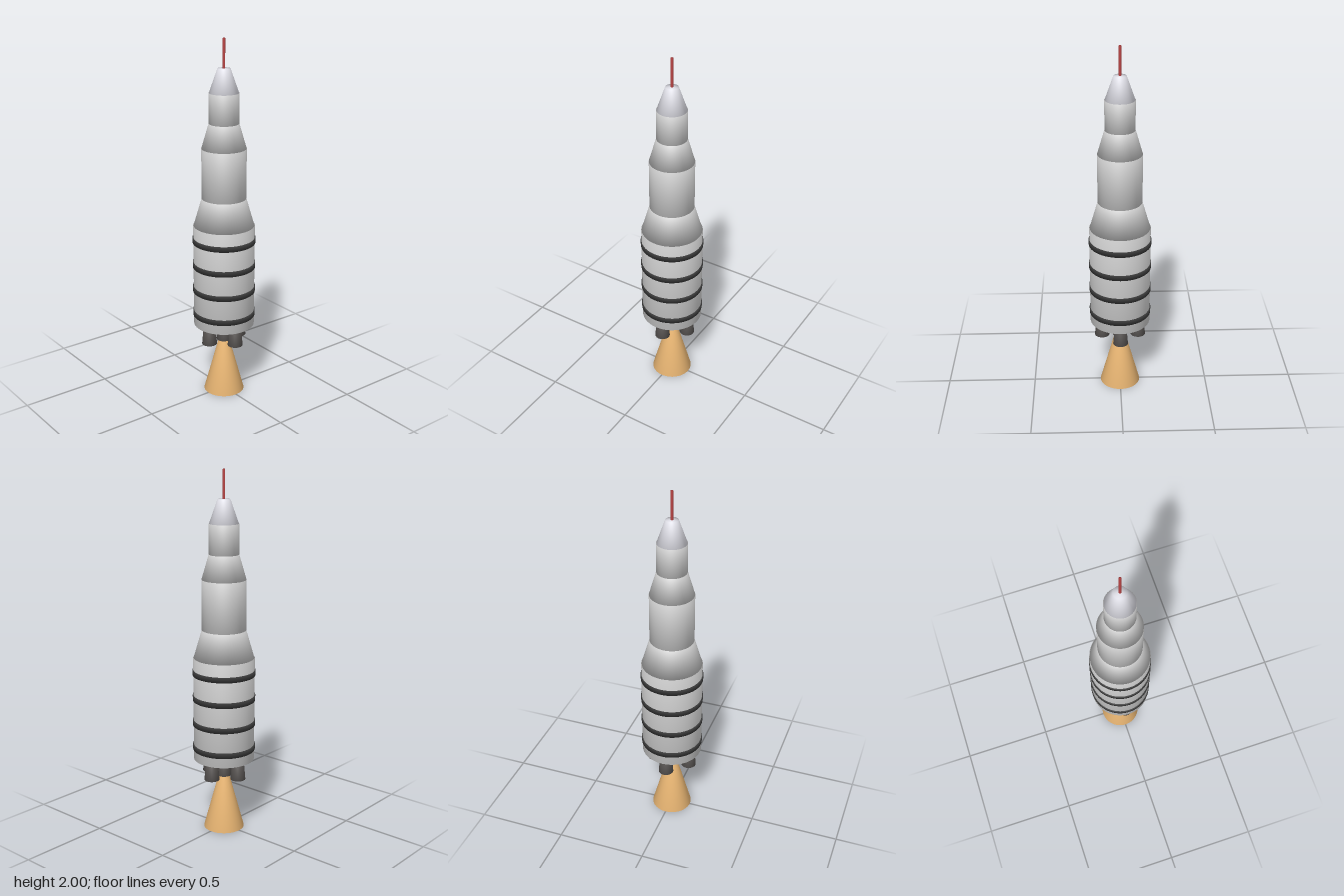
import * as THREE from 'three';

const hull = new THREE.MeshStandardMaterial({ color: 0xcccccc });
const paint = (color) => new THREE.MeshStandardMaterial({ color });

// Closed round section between two heights, softly shaded across its rims
function section(name, material, y0, r0, y1, r1, sides = 64) {
  const profile = [[0, y0], [r0, y0], [r1, y1], [0, y1]].map(([r, y]) => new THREE.Vector2(r, y));
  const mesh = new THREE.Mesh(new THREE.LatheGeometry(profile, sides), material);
  mesh.name = name;
  return mesh;
}

export function createModel() {
  const rocket = new THREE.Group();
  rocket.name = 'rocket';
  const dark = paint(0x3a3a3a);
  const engineGrey = paint(0x5a5654);

  // Stages and tapered adapters, bottom to top
  rocket.add(
    section('firstStage', hull, 0.412, 0.168, 0.992, 0.168),
    section('lowerAdapter', hull, 0.992, 0.165, 1.147, 0.12),
    section('secondStage', hull, 1.147, 0.121, 1.422, 0.121),
    section('upperAdapter', hull, 1.422, 0.12, 1.556, 0.081),
    section('thirdStage', hull, 1.556, 0.081, 1.718, 0.081),
    section('noseCone', paint(0xe2e2ea), 1.718, 0.079, 1.845, 0.034),
    section('antenna', paint(0xb84444), 1.845, 0.0065, 2, 0.0065, 16)
  );

  // Dark bands around the first stage
  for (let i = 0; i < 4; i++) {
    const y = 0.482 + i * 0.1425;
    rocket.add(section('band', dark, y - 0.015, 0.172, y + 0.015, 0.172));
  }

  // Central engine with four around it
  for (const [x, z] of [[0, 0], [1, 0], [-1, 0], [0, 1], [0, -1]]) {
    const engine = section('engine', engineGrey, 0.31, 0.042, 0.413, 0.033, 32);
    engine.position.set(x * 0.102, 0, z * 0.102);
    rocket.add(engine);
  }

  // Exhaust flame
  rocket.add(section('flame', paint(0xf2bd78), 0, 0.113, 0.412, 0.002));

  return rocket;
}
